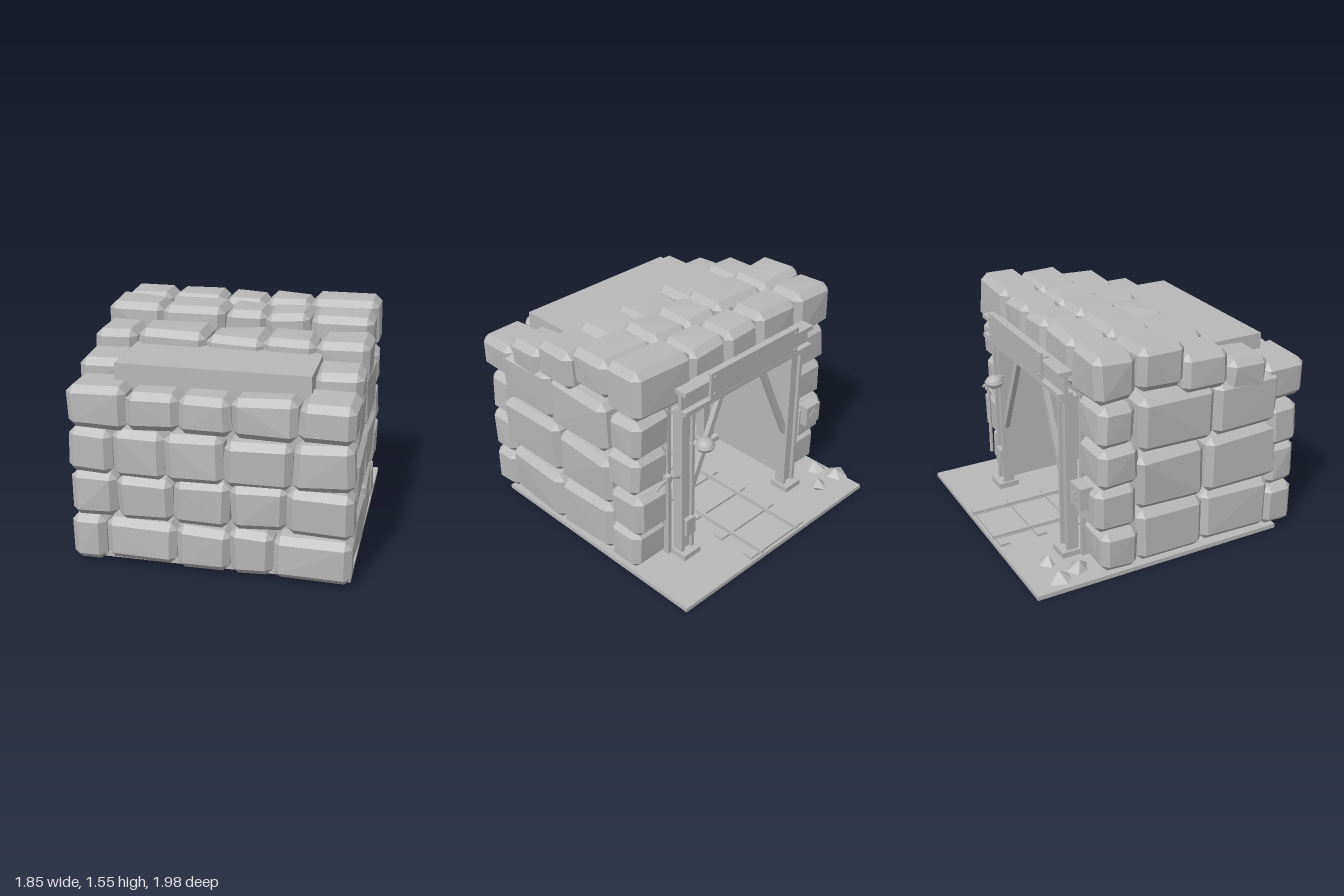
import * as THREE from 'three';
import { ConvexGeometry } from 'three/addons/geometries/ConvexGeometry.js';

const grey = new THREE.MeshStandardMaterial({ color: 0xb8b8b8 });
grey.name = 'plain grey';

let seed = 7;
const rand = () => { seed = (seed * 16807) % 2147483647; return seed / 2147483647; };
const jitter = (a) => (rand() - 0.5) * 2 * a;

export function createModel() {
  const model = new THREE.Group();
  model.name = 'mineEntrance';

  const group = (name, parent = model) => {
    const g = new THREE.Group();
    g.name = name;
    parent.add(g);
    return g;
  };
  const add = (parent, name, geo, x = 0, y = 0, z = 0) => {
    const m = new THREE.Mesh(geo, grey);
    m.name = name;
    m.position.set(x, y, z);
    parent.add(m);
    return m;
  };
  // Box given by its low and high limits on each axis
  const box = (parent, name, x0, x1, y0, y1, z0, z1) => add(parent, name,
    new THREE.BoxGeometry(x1 - x0, y1 - y0, z1 - z0), (x0 + x1) / 2, (y0 + y1) / 2, (z0 + z1) / 2);
  // Straight bar between two points
  const bar = (parent, name, a, b, w, d = w) => {
    const from = new THREE.Vector3(...a), to = new THREE.Vector3(...b);
    const m = add(parent, name, new THREE.BoxGeometry(w, from.distanceTo(to), d));
    m.position.copy(from).lerp(to, 0.5);
    m.quaternion.setFromUnitVectors(new THREE.Vector3(0, 1, 0), to.sub(from).normalize());
    return m;
  };

  // Stone block: uneven box with cut edges and corners
  const block = (parent, x0, x1, y0, y1, z0, z1) => {
    const h = [(x1 - x0) / 2, (y1 - y0) / 2, (z1 - z0) / 2], pts = [];
    const c = Math.min(0.045, h[0] * 0.4, h[2] * 0.4);
    for (const sx of [-1, 1]) for (const sy of [-1, 1]) for (const sz of [-1, 1]) {
      const s = [sx, sy, sz];
      const p = h.map((v, i) => s[i] * (v + jitter(0.008)));
      for (let k = 0; k < 3; k++) {
        pts.push(new THREE.Vector3(...p.map((v, i) => (i === k ? v : v - s[i] * c))));
      }
    }
    const m = add(parent, 'stoneBlock', new ConvexGeometry(pts), (x0 + x1) / 2, (y0 + y1) / 2, (z0 + z1) / 2);
    m.rotation.set(jitter(0.025), jitter(0.025), jitter(0.025));
  };
  const rowOfBlocks = (name, edges, y0, y1, z0, z1) => {
    const g = group(name);
    for (let i = 0; i < edges.length - 1; i++) {
      block(g, edges[i], edges[i + 1], y0 + jitter(0.01), y1 + jitter(0.01), z0, z1);
    }
  };

  // Ground slab
  box(model, 'groundSlab', -0.9, 0.9, 0, 0.03, -1, 0.8);

  // Closed end wall, stacked in courses
  rowOfBlocks('endCourse1', [-0.91, -0.68, -0.21, 0.14, 0.42, 0.91], 0.04, 0.33, 0.7, 0.93);
  rowOfBlocks('endCourse2', [-0.9, -0.6, -0.23, 0.14, 0.5, 0.91], 0.34, 0.64, 0.7, 0.93);
  rowOfBlocks('endCourse3', [-0.91, -0.61, -0.28, 0.1, 0.53, 0.91], 0.64, 0.95, 0.7, 0.93);
  rowOfBlocks('endCourse4', [-0.89, -0.51, -0.17, 0.16, 0.57, 0.91], 0.97, 1.23, 0.65, 0.97);

  // Top courses stepping up toward the portal
  rowOfBlocks('topCourseLow', [-0.91, -0.62, -0.15, 0.23, 0.57, 0.92], 1.16, 1.43, 0.02, 0.35);
  rowOfBlocks('topCourseMiddle', [-0.92, -0.54, -0.1, 0.18, 0.48, 0.9], 1.24, 1.52, -0.3, 0.02);
  rowOfBlocks('topCoursePortal', [-0.91, -0.56, -0.18, 0.12, 0.44, 0.91], 1.21, 1.53, -0.59, -0.3);

  // Side walls and portal columns: [y0, y1, z0, z1]
  const sideBlocks = [
    [0.05, 0.42, 0.2, 0.73], [0.05, 0.42, -0.29, 0.2],
    [0.43, 0.82, 0.21, 0.78], [0.43, 0.81, -0.3, 0.2],
    [0.83, 1.2, 0.27, 0.76], [0.83, 1.2, -0.28, 0.26],
    [1.1, 1.33, 0.35, 0.65],
    [0.04, 0.33, -0.54, -0.28], [0.34, 0.64, -0.59, -0.3],
    [0.64, 0.92, -0.56, -0.28], [0.92, 1.2, -0.57, -0.31],
  ];
  for (const side of [-1, 1]) {
    const wall = group(side > 0 ? 'leftSideWall' : 'rightSideWall');
    for (const [y0, y1, z0, z1] of sideBlocks) {
      block(wall, side > 0 ? 0.6 : -0.91, side > 0 ? 0.91 : -0.6, y0, y1, z0, z1);
    }
  }

  // Tunnel lining, open at the portal
  const lining = group('tunnelLining');
  box(lining, 'liningRoof', -0.62, 0.62, 1.22, 1.35, -0.55, 0.79);
  box(lining, 'liningEnd', -0.62, 0.62, 0.03, 1.22, 0.74, 0.79);
  for (const s of [-1, 1]) box(lining, 'liningWall', s * 0.605 - 0.015, s * 0.605 + 0.015, 0.03, 1.22, -0.55, 0.74);
  for (let i = 0; i < 9; i++) {
    const z = -0.48 + i * 0.14;
    box(lining, 'ceilingPlank', -0.59, 0.59, 1.18, 1.22, z - 0.045, z + 0.045);
  }

  // Steel support frames
  for (const z of [-0.6, 0.2]) {
    const frame = group('supportFrame');
    for (const s of [-1, 1]) {
      const x = s * 0.52;
      box(frame, 'postFoot', x - 0.075, x + 0.075, 0.03, 0.07, z - 0.08, z + 0.07);
      box(frame, 'postWeb', x - 0.04, x + 0.04, 0.07, 1.17, z - 0.012, z + 0.012);
      for (const f of [-1, 1]) {
        box(frame, 'postFlange', x + f * 0.045 - 0.012, x + f * 0.045 + 0.012, 0.07, 1.17, z - 0.035, z + 0.045);
      }
      box(frame, 'postCap', x - 0.075, x + 0.075, 1.15, 1.18, z - 0.06, z + 0.05);
      bar(frame, 'brace', [s * 0.47, 0.52, z], [s * 0.18, 1.17, z], 0.04, 0.035);
    }
    if (z < 0) {
      box(frame, 'beamWeb', -0.6, 0.6, 1.2, 1.34, z - 0.045, z - 0.02);
      for (const y of [1.18, 1.32]) box(frame, 'beamFlange', -0.6, 0.6, y, y + 0.03, z - 0.085, z + 0.01);
    } else {
      box(frame, 'innerBeam', -0.59, 0.59, 1.12, 1.18, z - 0.04, z + 0.04);
    }
  }

  // Blank board on the portal beam
  const sign = group('signBoard');
  box(sign, 'board', -0.41, 0.41, 1.24, 1.42, -0.715, -0.695);
  for (const s of [-1, 1]) {
    box(sign, 'bracket', s * 0.32 - 0.02, s * 0.32 + 0.02, 1.27, 1.36, -0.7, -0.62);
    for (const y of [1.27, 1.39]) {
      add(sign, 'bolt', new THREE.CylinderGeometry(0.01, 0.01, 0.012, 8), s * 0.38, y, -0.718).rotation.x = Math.PI / 2;
    }
  }

  // Rail track
  const track = group('railTrack');
  for (let i = 0; i < 7; i++) {
    const z = -0.945 + i * 0.27;
    box(track, 'sleeper', -0.27, 0.27, 0.028, 0.046, z - 0.035, z + 0.035);
  }
  for (const x of [-0.175, 0.18]) {
    box(track, 'railFoot', x - 0.014, x + 0.014, 0.044, 0.052, -1, 0.72);
    box(track, 'railHead', x - 0.009, x + 0.009, 0.05, 0.068, -1, 0.72);
  }

  // Wall lamp on the post
  const lamp = group('wallLamp');
  add(lamp, 'lampBulb', new THREE.SphereGeometry(0.06, 16, 10), 0.43, 0.9, -0.69).scale.set(1, 0.8, 1.05);
  add(lamp, 'lampRim', new THREE.TorusGeometry(0.06, 0.008, 6, 20), 0.43, 0.9, -0.69).rotation.x = Math.PI / 2;
  bar(lamp, 'lampArm', [0.48, 0.91, -0.6], [0.43, 0.91, -0.69], 0.025);

  // Hanging bulb inside the tunnel
  const bulb = group('hangingBulb');
  bar(bulb, 'cord', [0, 1.1, -0.38], [0, 1.2, -0.38], 0.01);
  add(bulb, 'socket', new THREE.CylinderGeometry(0.018, 0.024, 0.04, 10), 0, 1.09, -0.38);
  add(bulb, 'glass', new THREE.SphereGeometry(0.035, 12, 8), 0, 1.045, -0.38);

  // Pickaxe hanging beside the portal
  const pick = group('pickaxe');
  add(pick, 'handle', new THREE.CylinderGeometry(0.012, 0.014, 0.54, 8), 0.7, 0.49, -0.63);
  const head = add(pick, 'pickHead', new THREE.TorusGeometry(0.17, 0.012, 6, 14, 1.3), 0.7, 0.57, -0.63);
  head.rotation.z = Math.PI / 2 - 0.65;
  box(pick, 'headSocket', 0.68, 0.72, 0.72, 0.77, -0.65, -0.61);

  // Emergency box with a raised cross
  const kit = group('emergencyBox');
  box(kit, 'case', -0.8, -0.66, 0.49, 0.64, -0.65, -0.56);
  box(kit, 'crossBar', -0.77, -0.69, 0.552, 0.578, -0.657, -0.649);
  box(kit, 'crossPost', -0.743, -0.717, 0.525, 0.605, -0.657, -0.649);

  // Switch box on the post
  box(model, 'switchBox', 0.47, 0.55, 0.2, 0.33, -0.655, -0.62);

  // Loose rubble: [x, z, radius]
  const rubble = group('rubble');
  for (const [x, z, r] of [[-0.84, -0.82, 0.08], [-0.64, -0.82, 0.06], [-0.78, -0.67, 0.075]]) {
    const pts = [];
    for (let i = 0; i < 6; i++) {
      const a = i * Math.PI / 3 + jitter(0.3), q = r * (0.85 + rand() * 0.3);
      pts.push(new THREE.Vector3(Math.cos(a) * q, 0.04 + jitter(0.012), Math.sin(a) * q));
    }
    pts.push(new THREE.Vector3(jitter(0.02), 0, jitter(0.02)), new THREE.Vector3(jitter(0.02), 0.095, jitter(0.02)));
    add(rubble, 'looseRock', new ConvexGeometry(pts), x, 0.03, z);
  }

  return model;
}
